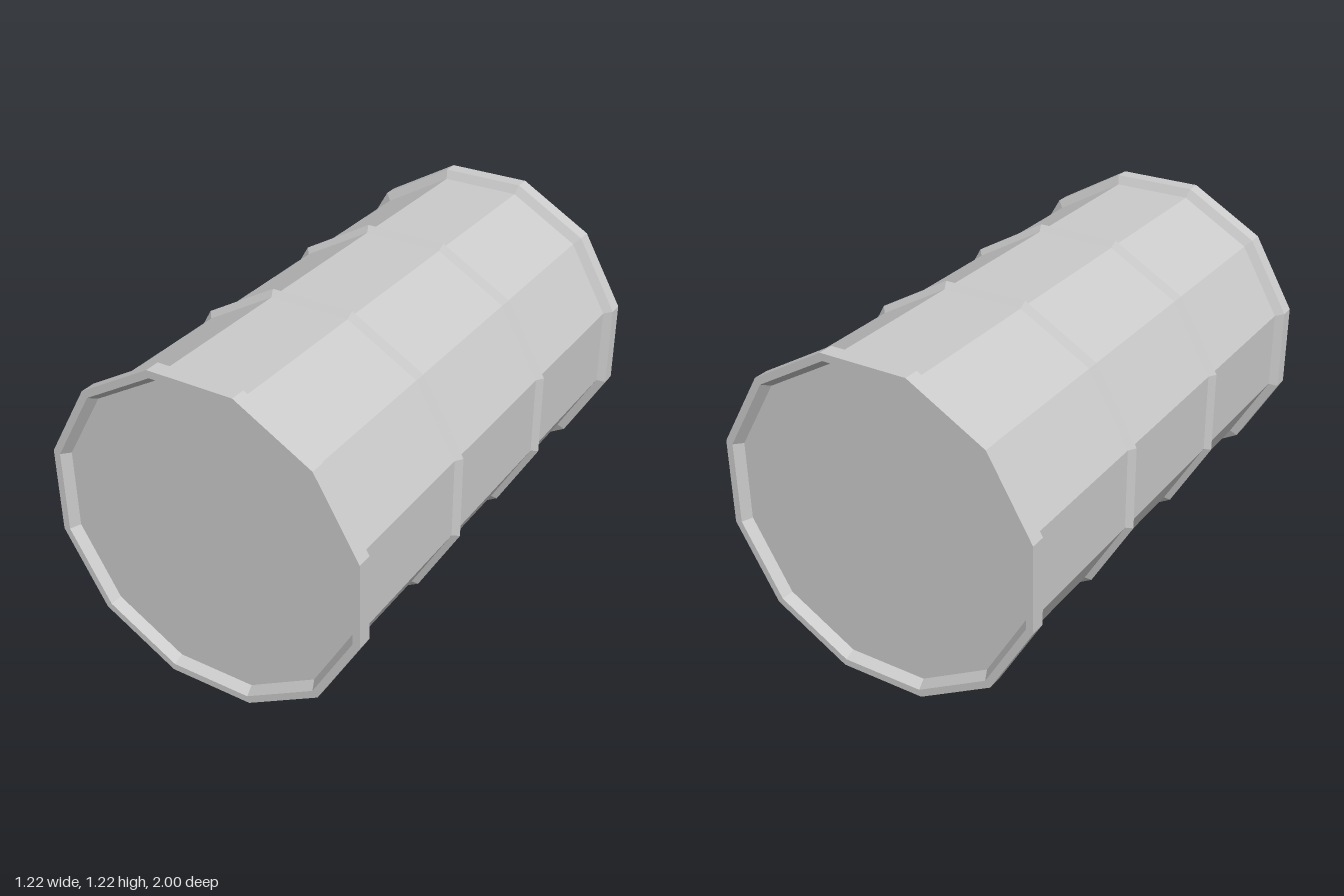
import * as THREE from 'three';

const SIDES = 12;
const CENTER_Y = 0.61;
const toCorner = 1 / Math.cos(Math.PI / SIDES); // flat-to-centre distance -> corner radius
const BODY = 0.577, RIB = 0.6, RIM = 0.61;

// Twelve-sided ring swept around z from [flat distance, z] pairs
function ring(name, profile, material) {
  const points = profile.map(([r, z]) => new THREE.Vector2(r * toCorner, z));
  const geometry = new THREE.LatheGeometry(points, SIDES, Math.PI / SIDES);
  geometry.rotateX(Math.PI / 2);
  const mesh = new THREE.Mesh(geometry, material);
  mesh.name = name;
  return mesh;
}

export function createModel() {
  const material = new THREE.MeshStandardMaterial({ color: 0xcccccc, flatShading: true });
  const model = new THREE.Group();
  model.name = 'barrel';
  const drum = new THREE.Group();
  drum.name = 'drum';
  drum.position.y = CENTER_Y;
  model.add(drum);

  // Straight wall
  drum.add(ring('wall', [[BODY, -0.93], [BODY, 0.93]], material));

  // Two pointed reinforcing ribs
  for (const z of [-0.317, 0.317]) {
    drum.add(ring('rib', [[BODY, z - 0.02], [RIB, z], [BODY, z + 0.02]], material));
  }

  // Chamfered rim and recessed lid, repeated at both ends
  for (const [name, turn] of [['front', 0], ['back', Math.PI]]) {
    const end = new THREE.Group();
    end.name = name + 'End';
    end.rotation.y = turn;
    end.add(ring('rim', [[BODY, 0.925], [RIM, 0.943], [RIM, 1], [0.583, 1], [0.562, 0.965]], material));
    end.add(ring('lid', [[0.562, 0.965], [0, 0.965]], material));
    drum.add(end);
  }
  return model;
}
